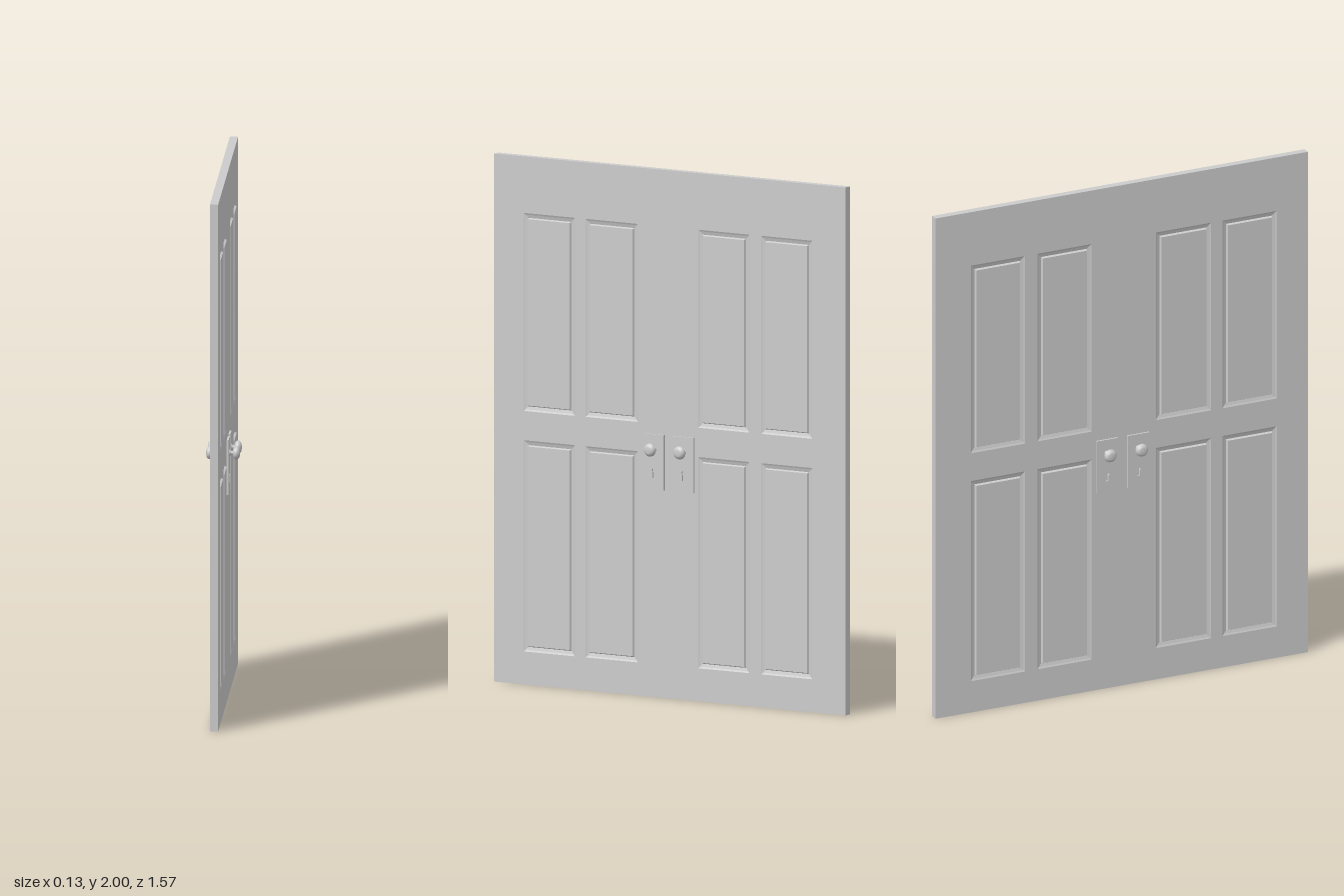
import * as THREE from 'three';

const HALF = 0.0155;      // half the thickness of the door slab
const HALF_WIDTH = 0.784;

// Panel openings, as [low, high] spans across and up the door
const SPANS_Z = [[0.424, 0.652], [0.143, 0.376], [-0.355, -0.127], [-0.636, -0.408]];
const SPANS_Y = [[0.125, 0.925], [1.036, 1.786]];

// Panel section from the opening edge inwards: [inset, distance from door middle]
const PANEL_SECTION = [[0, HALF], [0.006, 0.0125], [0.018, 0.009], [0.022, 0.018]];

const material = new THREE.MeshStandardMaterial({ color: 0xcccccc });

function part(name, geometry) {
  const mesh = new THREE.Mesh(geometry, material);
  mesh.name = name;
  return mesh;
}

function rectangle(PathType, x0, x1, y0, y1) {
  const path = new PathType();
  path.moveTo(x0, y0);
  path.lineTo(x1, y0);
  path.lineTo(x1, y1);
  path.lineTo(x0, y1);
  path.closePath();
  return path;
}

// Slab with openings, drawn in its own plane and then turned to face +x
function slabGeometry() {
  const shape = rectangle(THREE.Shape, -HALF_WIDTH, HALF_WIDTH, 0, 2);
  for (const [z0, z1] of SPANS_Z) {
    for (const [y0, y1] of SPANS_Y) {
      shape.holes.push(rectangle(THREE.Path, -z1, -z0, y0, y1));
    }
  }
  const geometry = new THREE.ExtrudeGeometry(shape, { depth: HALF * 2, bevelEnabled: false });
  geometry.translate(0, 0, -HALF);
  geometry.rotateY(Math.PI / 2);
  return geometry;
}

// Mitred moulding around a raised field, on the +x (side 1) or -x (side -1) face
function panelGeometry([z0, z1], [y0, y1], side) {
  const rings = PANEL_SECTION.map(([inset, x]) => [
    [side * x, y0 + inset, z1 - inset],
    [side * x, y0 + inset, z0 + inset],
    [side * x, y1 - inset, z0 + inset],
    [side * x, y1 - inset, z1 - inset],
  ]);
  const positions = [];
  const quad = (a, b, c, d) => {
    const corners = side > 0 ? [a, b, c, a, c, d] : [a, c, b, a, d, c];
    for (const corner of corners) positions.push(...corner);
  };
  for (let r = 0; r < rings.length - 1; r++) {
    for (let i = 0; i < 4; i++) {
      const j = (i + 1) % 4;
      quad(rings[r][i], rings[r][j], rings[r + 1][j], rings[r + 1][i]);
    }
  }
  quad(...rings[rings.length - 1]);
  const geometry = new THREE.BufferGeometry();
  geometry.setAttribute('position', new THREE.Float32BufferAttribute(positions, 3));
  geometry.computeVertexNormals();
  return geometry;
}

// Lock plate with a keyhole cut through it, centred on the knob axis
function plateGeometry() {
  const shape = rectangle(THREE.Shape, -0.045, 0.045, -0.153, 0.056);
  const keyhole = new THREE.Path();
  const cy = -0.081;
  keyhole.moveTo(-0.005, -0.11);
  keyhole.lineTo(0.005, -0.11);
  keyhole.lineTo(0.005, cy - 0.007);
  keyhole.absarc(0, cy, 0.0086, -0.95, Math.PI + 0.95, false);
  keyhole.lineTo(-0.005, -0.11);
  shape.holes.push(keyhole);
  return new THREE.ExtrudeGeometry(shape, { depth: 0.0075, bevelEnabled: false, curveSegments: 8 });
}

// Turned knob on a slim neck; heights are measured outwards from the door face
function knobGeometry() {
  const profile = [
    [0.013, 0.0075], [0.012, 0.010], [0.008, 0.012], [0.007, 0.021],
    [0.013, 0.022], [0.021, 0.025], [0.025, 0.031], [0.024, 0.038],
    [0.020, 0.044], [0.014, 0.047], [0.011, 0.0475], [0, 0.0485],
  ].map(([r, h]) => new THREE.Vector2(r, h));
  const geometry = new THREE.LatheGeometry(profile, 24);
  geometry.rotateX(Math.PI / 2);
  return geometry;
}

export function createModel() {
  const model = new THREE.Group();
  model.name = 'doubleDoor';
  model.add(part('doorSlab', slabGeometry()));

  const plate = plateGeometry();
  const knob = knobGeometry();

  for (const side of [1, -1]) {
    // Panels
    for (const spanZ of SPANS_Z) {
      for (const spanY of SPANS_Y) {
        model.add(part('raisedPanel', panelGeometry(spanZ, spanY, side)));
      }
    }
    // Lock plates and knobs
    for (const z of [0.067, -0.065]) {
      const handle = new THREE.Group();
      handle.name = 'handleSet';
      handle.add(part('lockPlate', plate), part('knob', knob));
      handle.position.set(side * HALF, 0.94, z);
      handle.rotation.y = side * Math.PI / 2;
      model.add(handle);
    }
  }
  return model;
}
